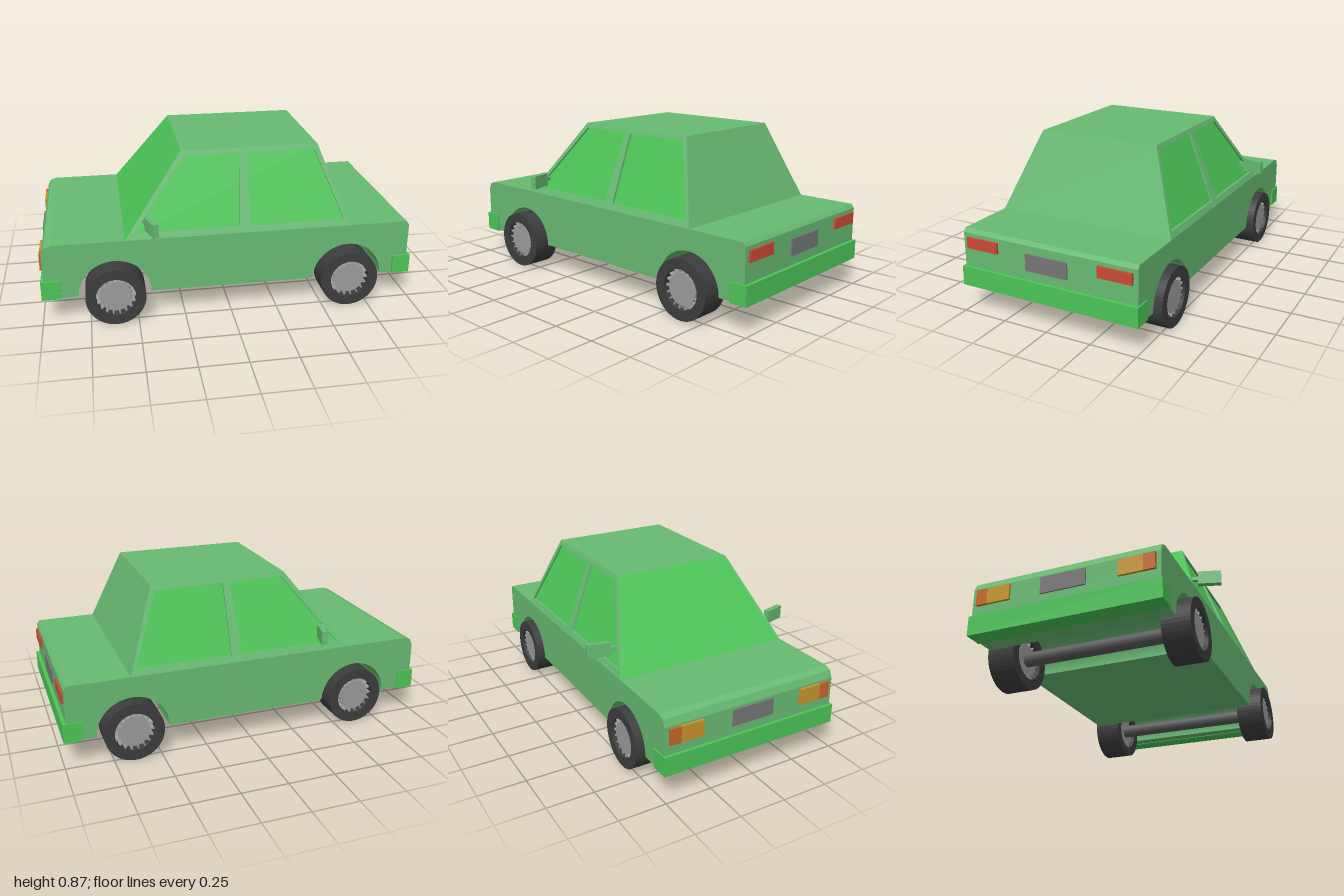
import * as THREE from 'three';

const mat = (color) => new THREE.MeshStandardMaterial({ color });
const BODY = 0x68bb73, BRIGHT = 0x4cc657;

export function createModel() {
  const car = new THREE.Group();
  car.name = 'car';
  const paint = mat(BODY), bright = mat(BRIGHT), red = mat(0xcc4a35), yellow = mat(0xc8962a),
    orange = mat(0xc8652a), plateGrey = mat(0x777777), rubber = mat(0x3d3d3d),
    rimGrey = mat(0x9c9c9c), steel = mat(0x5c5c5c);
  const paintBoth = paint.clone(), glassBoth = bright.clone();
  paintBoth.side = glassBoth.side = THREE.DoubleSide;

  const add = (name, geo, material, parent = car) => {
    const mesh = new THREE.Mesh(geo, material);
    mesh.name = name;
    parent.add(mesh);
    return mesh;
  };
  // Box given by its limits on each axis
  const box = (name, x0, x1, y0, y1, z0, z1, material, parent) => {
    const m = add(name, new THREE.BoxGeometry(x1 - x0, y1 - y0, z1 - z0), material, parent);
    m.position.set((x0 + x1) / 2, (y0 + y1) / 2, (z0 + z1) / 2);
    return m;
  };
  const polygon = (Type, pts) => new Type(pts.map(([x, y]) => new THREE.Vector2(x, y)));

  const zMid = -0.005, half = 0.495, roofHalf = 0.335;
  const wheelX = [-0.615, 0.642];

  // Lower body: side profile with wheel arches cut right through
  const profile = new THREE.Shape();
  profile.moveTo(-0.98, 0.15);
  for (const x of wheelX) {
    profile.lineTo(x - 0.19, 0.15);
    profile.absarc(x, 0.15, 0.19, Math.PI, 0, true);
  }
  [[0.98, 0.15], [0.98, 0.43], [0.965, 0.45], [-0.93, 0.45], [-0.965, 0.437], [-0.98, 0.4]]
    .forEach(([x, y]) => profile.lineTo(x, y));
  const bodyGeo = new THREE.ExtrudeGeometry(profile, { depth: 2 * half, bevelEnabled: false, curveSegments: 24 });
  add('body', bodyGeo.translate(0, 0, zMid - half), paint);

  // Cabin: tapered shell with painted roof and back, glazed front
  const cabin = new THREE.Group();
  cabin.name = 'cabin';
  cabin.position.z = zMid;
  car.add(cabin);
  const y0 = 0.45, y1 = 0.865;
  const quad = (name, a, b, c, d, material) => {
    const geo = new THREE.BufferGeometry();
    geo.setAttribute('position', new THREE.Float32BufferAttribute([a, b, c, a, c, d].flat(), 3));
    geo.computeVertexNormals();
    return add(name, geo, material, cabin);
  };
  quad('roof', [-0.24, y1, roofHalf], [0.49, y1, roofHalf], [0.49, y1, -roofHalf], [-0.24, y1, -roofHalf], paintBoth);
  quad('rearPanel', [0.645, y0, half], [0.645, y0, -half], [0.49, y1, -roofHalf], [0.49, y1, roofHalf], paintBoth);
  quad('windscreen', [-0.555, y0, -half], [-0.555, y0, half], [-0.24, y1, roofHalf], [-0.24, y1, -roofHalf], glassBoth);

  // Sloped side frames with two window openings, glass set slightly back
  const recess = 0.012;
  const outline = [[-0.555, y0], [0.645, y0], [0.49, y1], [-0.24, y1]];
  const lean = (geo, inset) => {
    const p = geo.attributes.position;
    for (let i = 0; i < p.count; i++) {
      const t = (p.getY(i) - y0) / (y1 - y0);
      p.setZ(i, half + (roofHalf - half) * t - inset + p.getZ(i));
    }
    geo.computeVertexNormals();
    return geo;
  };
  const frame = polygon(THREE.Shape, outline);
  frame.holes.push(
    polygon(THREE.Path, [[-0.505, 0.483], [-0.225, 0.84], [0.068, 0.84], [0.045, 0.483]]),
    polygon(THREE.Path, [[0.105, 0.483], [0.105, 0.84], [0.47, 0.84], [0.612, 0.483]]));
  for (const side of [1, -1]) {
    const frameGeo = new THREE.ExtrudeGeometry(frame, { depth: recess, bevelEnabled: false });
    add('windowFrame', lean(frameGeo, recess), paint, cabin).scale.z = side;
    const glassGeo = new THREE.ShapeGeometry(polygon(THREE.Shape, outline));
    add('sideWindows', lean(glassGeo, recess), glassBoth, cabin).scale.z = side;
  }

  // Bumpers
  box('frontBumper', -0.995, -0.895, 0.147, 0.25, -0.507, 0.5, bright);
  box('rearBumper', 0.9, 0.998, 0.147, 0.25, -0.507, 0.5, bright);

  // Lamps and plates
  for (const s of [1, -1]) {
    const span = (a, b) => [zMid + s * a, zMid + s * b].sort((p, q) => p - q);
    box('tailLamp', 0.97, 0.992, 0.352, 0.41, ...span(0.285, 0.47), red);
    box('headLamp', -0.993, -0.97, 0.305, 0.39, ...span(0.285, 0.41), yellow);
    box('indicator', -0.993, -0.97, 0.305, 0.39, ...span(0.41, 0.47), orange);
  }
  box('rearPlate', 0.97, 0.988, 0.3, 0.388, -0.123, 0.115, plateGrey);
  box('frontPlate', -0.988, -0.97, 0.3, 0.388, -0.123, 0.115, plateGrey);

  // Door mirrors on short stalks
  const doorMirror = (x, y, z, angle) => {
    const g = new THREE.Group();
    g.name = 'doorMirror';
    g.position.set(x, y, z);
    g.rotation.y = angle;
    car.add(g);
    box('mirrorHousing', -0.015, 0.015, -0.036, 0.036, -0.06, 0.06, paint, g);
    const s = Math.sign(z);
    const stalk = box('mirrorStalk', -0.01, 0.01, -0.012, 0.008, -0.03, 0.03, paint, g);
    stalk.position.z = -s * 0.075;
  };
  doorMirror(-0.42, 0.539, 0.54, 0.3);
  doorMirror(-0.388, 0.556, -0.537, -0.25);

  // Wheels: hollow tyre, rim disc with short spokes leaving open slots
  const ring = new THREE.Shape().absarc(0, 0, 0.157, 0, Math.PI * 2);
  ring.holes.push(new THREE.Path().absarc(0, 0, 0.104, 0, Math.PI * 2, true));
  const tyreGeo = new THREE.ExtrudeGeometry(ring, { depth: 0.147, bevelEnabled: false, curveSegments: 24 })
    .translate(0, 0, -0.0735);
  const hubPts = [], spokes = 18;
  for (let i = 0; i < spokes; i++) {
    for (const [r, f] of [[0.083, -0.36], [0.083, -0.14], [0.107, -0.11], [0.107, 0.11], [0.083, 0.14], [0.083, 0.36]]) {
      const a = ((i + f) / spokes) * Math.PI * 2;
      hubPts.push([r * Math.cos(a), r * Math.sin(a)]);
    }
  }
  const rimGeo = new THREE.ExtrudeGeometry(polygon(THREE.Shape, hubPts), { depth: 0.12, bevelEnabled: false })
    .translate(0, 0, -0.06);
  for (const x of wheelX) {
    for (const z of [0.475, -0.458]) {
      const wheel = new THREE.Group();
      wheel.name = 'wheel';
      wheel.position.set(x, 0.157, z);
      car.add(wheel);
      add('tyre', tyreGeo, rubber, wheel);
      add('rim', rimGeo, rimGrey, wheel);
    }
    const axle = add('axle', new THREE.CylinderGeometry(0.038, 0.038, 0.86, 24), steel);
    axle.rotation.x = Math.PI / 2;
    axle.position.set(x, 0.157, 0.008);
  }
  return car;
}
